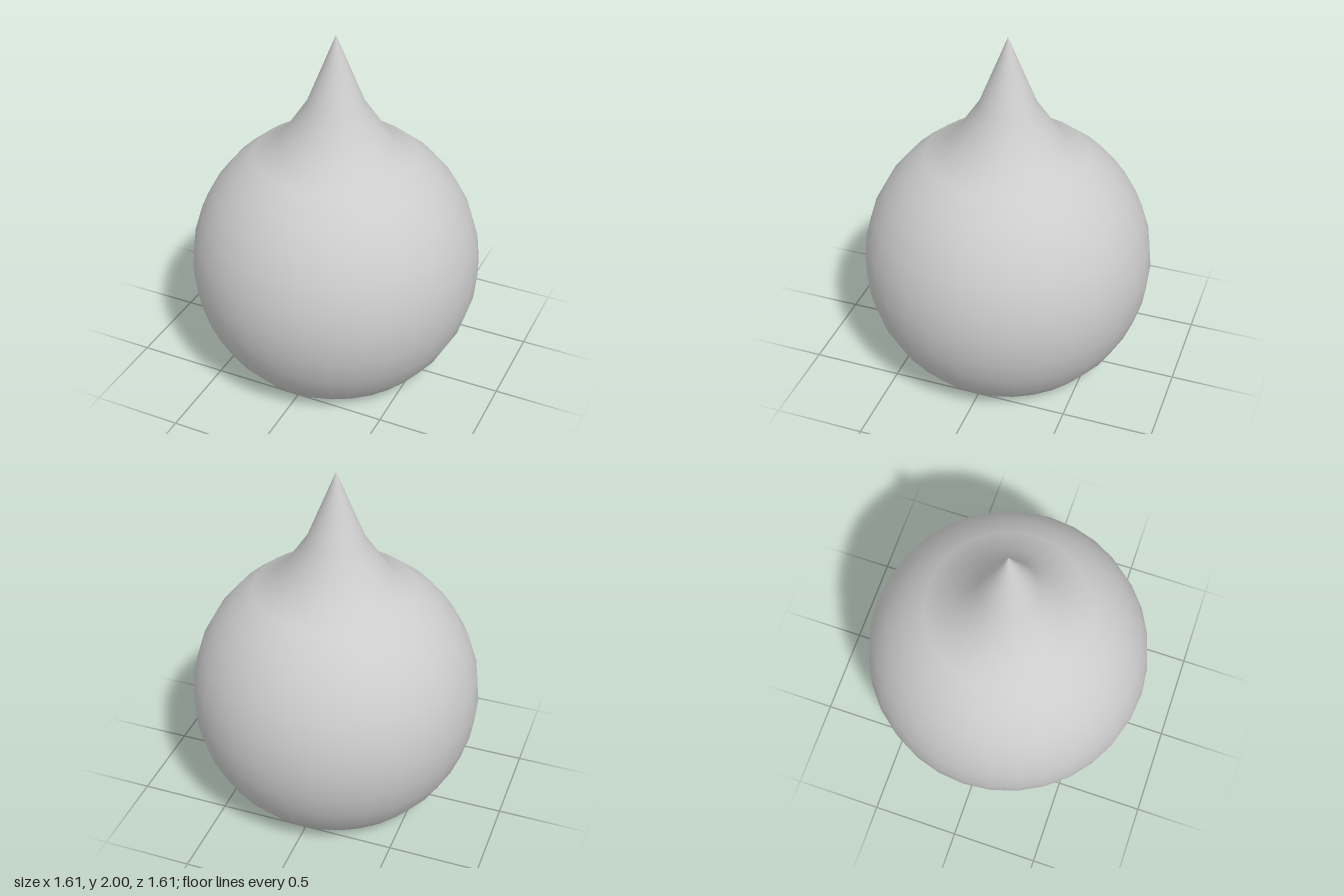
import * as THREE from 'three';

const RADIUS = 0.807, CENTRE = 0.64, RINGS = 16, SEGMENTS = 32;

// Smooth falloff from 1 at distance 0 to 0 at the given reach
const falloff = (distance, reach) => 1 - THREE.MathUtils.smoothstep(distance, 0, reach);

export function createModel() {
  const group = new THREE.Group();
  const grey = new THREE.MeshStandardMaterial({ color: 0xcccccc });
  grey.name = 'plain grey';

  // Sphere profile from bottom to top, with both poles pulled upward
  const profile = [];
  for (let i = 0; i <= RINGS; i++) {
    const angle = (i / RINGS) * Math.PI;
    const r = i % RINGS === 0 ? 0 : RADIUS * Math.sin(angle);
    const toBottom = 2 * RADIUS * Math.sin(angle / 2);
    const toTop = 2 * RADIUS * Math.cos(angle / 2);
    const y = CENTRE - RADIUS * Math.cos(angle)
      + 0.6 * falloff(toBottom, 0.55)    // hollow under the base
      + 0.553 * falloff(toTop, 0.255);   // pointed tip
    profile.push(new THREE.Vector2(r, y));
  }

  const body = new THREE.Mesh(new THREE.LatheGeometry(profile, SEGMENTS), grey);
  body.name = 'pointedBody';
  group.add(body);
  return group;
}
